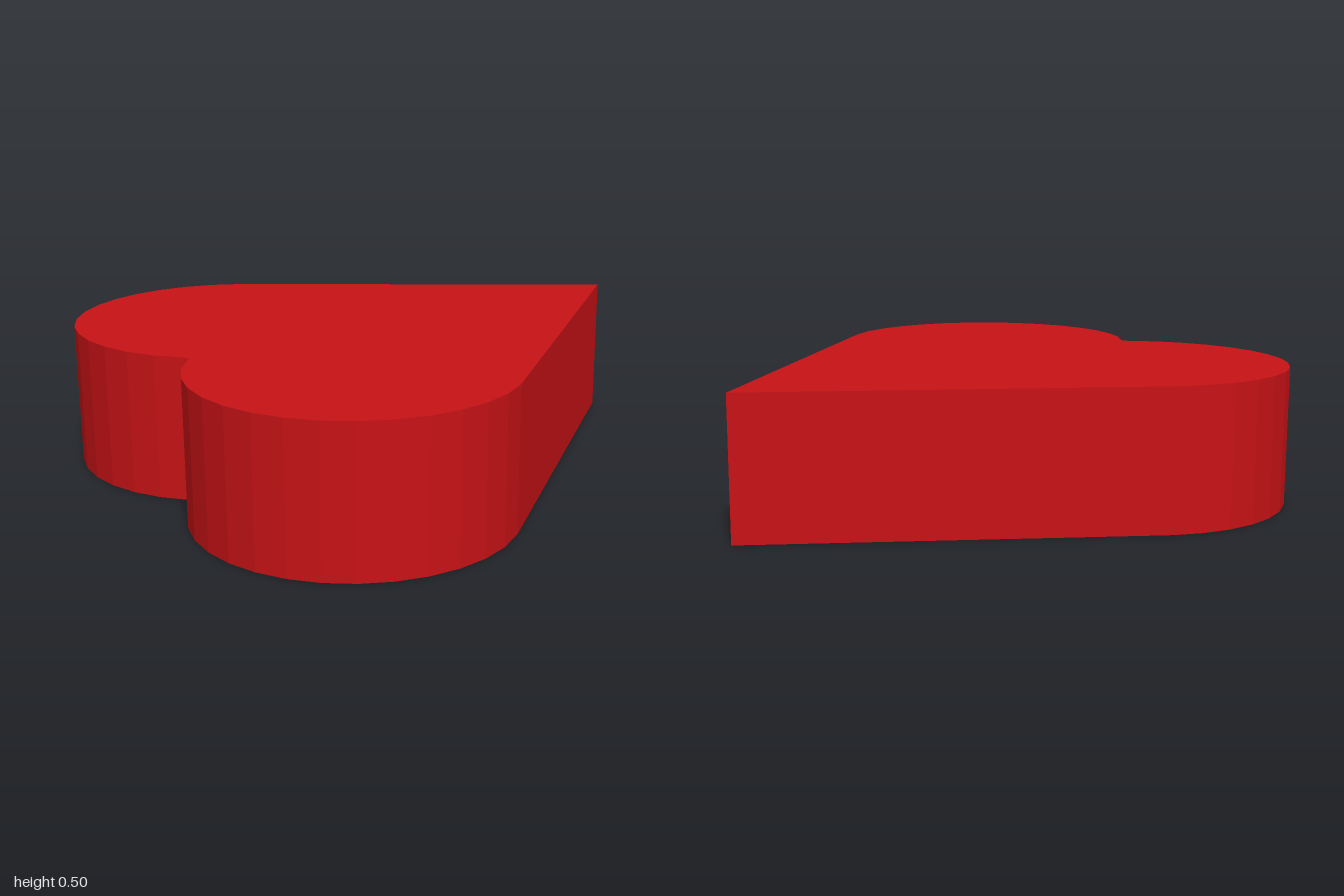
import * as THREE from 'three';

const HEIGHT = 0.495;
const RADIUS = 0.545;
const LOBE = { x: -0.455, z: 0.4 };
const SIDES = 32;

export function createModel() {
  const group = new THREE.Group();
  group.name = 'heart';

  // One lobe: from the tangent with the straight side round to the cleft
  const lobe = [];
  for (let i = 5; i <= 20; i++) {
    const a = (i / SIDES) * Math.PI * 2;
    lobe.push(new THREE.Vector2(LOBE.x + RADIUS * Math.cos(a), LOBE.z + RADIUS * Math.sin(a)));
  }

  // Full outline: tip, lobe, cleft, mirrored lobe
  const mirrored = lobe.map((p) => new THREE.Vector2(p.x, -p.y)).reverse();
  const outline = new THREE.Shape([
    new THREE.Vector2(1, 0), ...lobe, new THREE.Vector2(-0.83, 0), ...mirrored,
  ]);

  // Flat slab lying on the ground with faceted walls
  const geometry = new THREE.ExtrudeGeometry(outline, { depth: HEIGHT, bevelEnabled: false });
  geometry.rotateX(-Math.PI / 2);
  const material = new THREE.MeshStandardMaterial({ color: 0xc81216, flatShading: true });
  const slab = new THREE.Mesh(geometry, material);
  slab.name = 'heartSlab';
  group.add(slab);
  return group;
}
